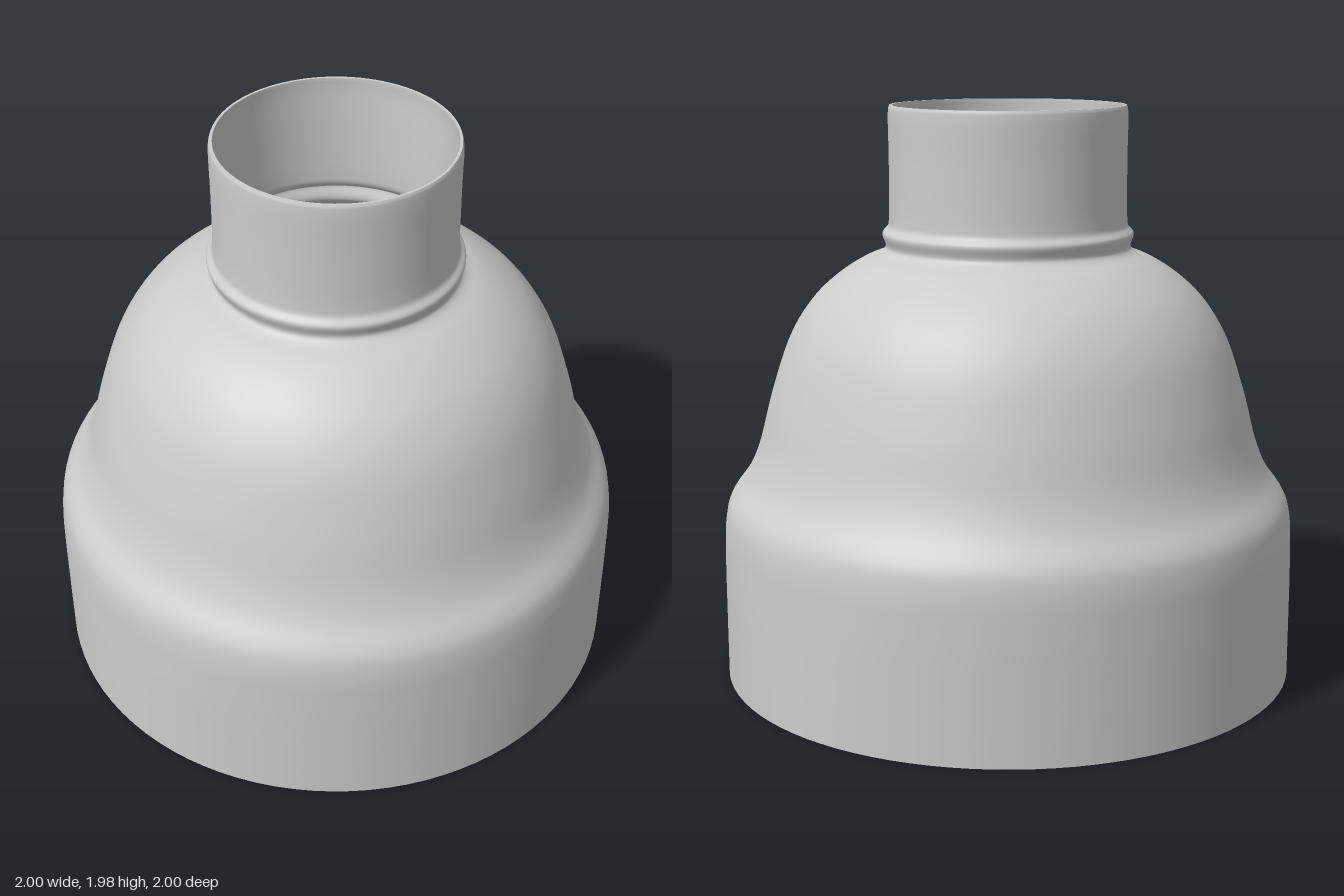
import * as THREE from 'three';

const WALL = 0.013;
const SEGMENTS = 96;

// Outer profile as [radius, height], from the base up to the neck rim
const PROFILE = [
  [1, 0], [1, 0.2], [0.999, 0.42], [0.994, 0.55], [0.977, 0.625], [0.912, 0.72],
  [0.873, 0.81], [0.822, 1.0], [0.752, 1.2], [0.67, 1.325], [0.58, 1.406],
  [0.5, 1.455], [0.436, 1.483], [0.422, 1.5], [0.433, 1.545], [0.414, 1.57],
  [0.41, 1.6], [0.408, 1.8], [0.408, 1.968], [0.404, 1.98],
];

export function createModel() {
  const group = new THREE.Group();
  group.name = 'reducer';
  const material = new THREE.MeshStandardMaterial({ color: 0xcccccc });

  const revolve = (name, points) => {
    const mesh = new THREE.Mesh(new THREE.LatheGeometry(points, SEGMENTS), material);
    mesh.name = name;
    group.add(mesh);
  };

  const curve = new THREE.CatmullRomCurve3(
    PROFILE.map(([r, y]) => new THREE.Vector3(r, y, 0)), false, 'centripetal');
  const outer = curve.getPoints((PROFILE.length - 1) * 6)
    .map((p) => new THREE.Vector2(p.x, p.y));

  // Inner wall: the outer profile pushed inward along its normal
  const inner = outer.map((p, i) => {
    const a = outer[Math.max(i - 1, 0)];
    const b = outer[Math.min(i + 1, outer.length - 1)];
    const t = b.clone().sub(a).normalize();
    return new THREE.Vector2(p.x - t.y * WALL, p.y + t.x * WALL);
  });
  const last = outer.length - 1;
  inner[0].y = 0;
  inner[last].set(0.395, outer[last].y);
  // Keep the straight neck bore clean near its rim
  for (let i = last - 6; i < last; i++) inner[i].set(0.395, outer[i].y);

  revolve('outerWall', outer);
  revolve('innerWall', inner.slice().reverse());
  revolve('neckRim', [outer[last], inner[last]]);
  revolve('baseRim', [inner[0], outer[0]]);
  return group;
}
